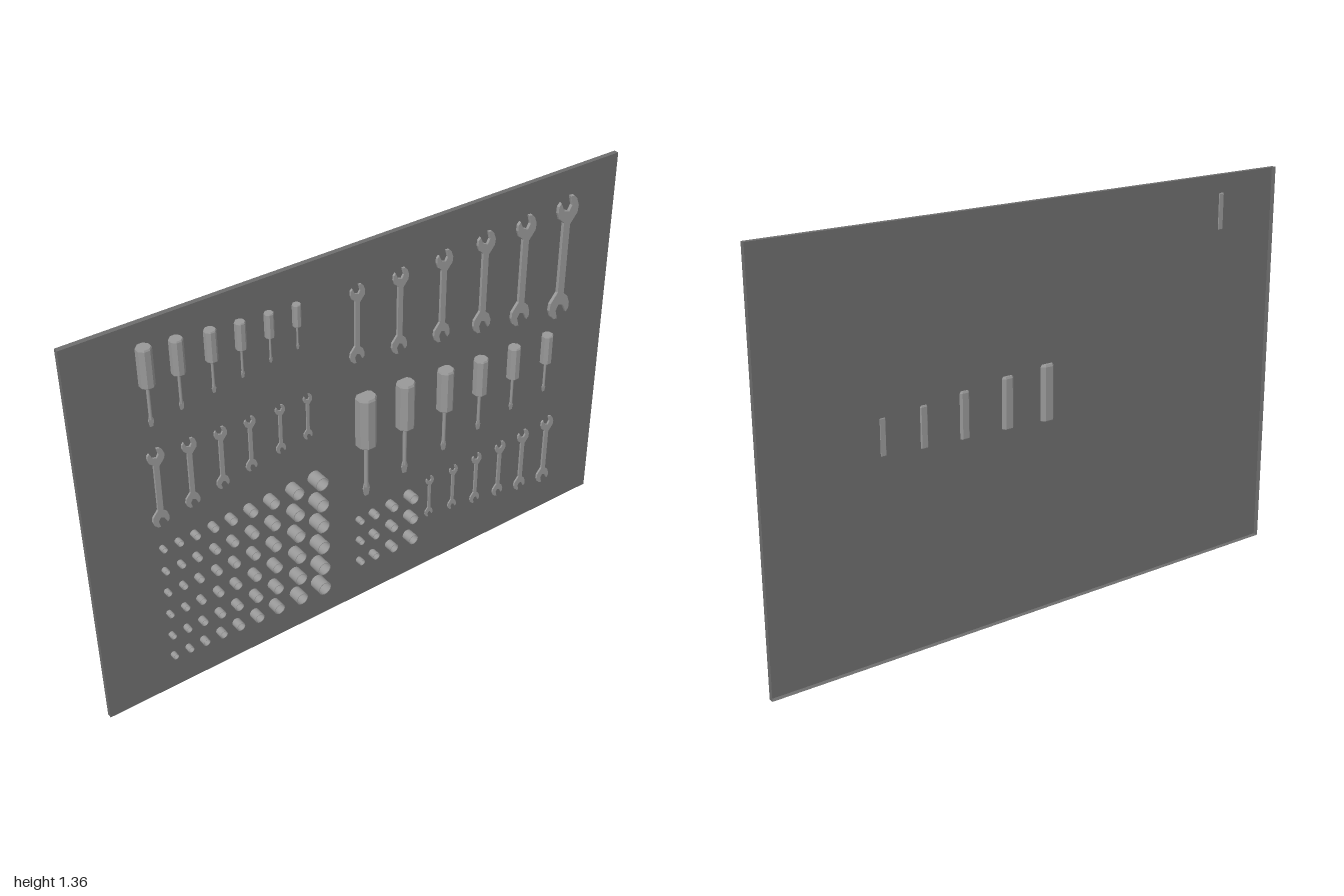
import * as THREE from 'three';
import { toCreasedNormals } from 'three/addons/utils/BufferGeometryUtils.js';

const TOOL = 0x989898;
const smooth = new THREE.MeshStandardMaterial({ color: TOOL });
const flat = new THREE.MeshStandardMaterial({ color: TOOL, flatShading: true });
const panelMaterial = new THREE.MeshStandardMaterial({ color: 0x6d6d6d, side: THREE.DoubleSide });
const TOOL_Z = 0.003;

function mesh(name, geometry, material) {
  const m = new THREE.Mesh(geometry, material);
  m.name = name;
  return m;
}

// Thin extrusion centred on z = 0
function plate(points, depth, bevel) {
  const shape = new THREE.Shape(points.map(([x, y]) => new THREE.Vector2(x, y)));
  const g = new THREE.ExtrudeGeometry(shape, {
    depth, bevelEnabled: bevel > 0, bevelSize: bevel, bevelThickness: bevel, bevelOffset: -bevel, bevelSegments: 1,
  });
  return g.translate(0, 0, -depth / 2);
}

// Double open-ended wrench of length 1: one angled head, repeated by a half turn
function wrenchGeometry() {
  const head = [
    [0.07, -0.075], [0.095, -0.025], [0.095, 0.035], [0.076, 0.08], [0.044, 0.095],
    [0.036, 0.018], [0.0, -0.012], [-0.036, 0.018], [-0.044, 0.095], [-0.076, 0.08],
    [-0.095, 0.035], [-0.095, -0.025], [-0.07, -0.075],
  ];
  const c = Math.cos(0.35), s = Math.sin(0.35);
  const half = [
    [0.036, 0.27],
    ...head.map(([x, y]) => [x * c - y * s + 0.008, x * s + y * c + 0.393]),
    [-0.033, 0.27],
  ];
  return plate([...half, ...half.map(([x, y]) => [-x, -y])], 0.018, 0.004);
}

// Screwdriver of length 1, hanging tip down from y = 0
function screwdriverParts() {
  const handle = new THREE.LatheGeometry(
    [[0, -0.48], [0.086, -0.48], [0.09, -0.472], [0.09, -0.02], [0.08, 0], [0, 0]]
      .map(([x, y]) => new THREE.Vector2(x, y)), 8);
  handle.rotateY(Math.PI / 8);
  const shaft = new THREE.CylinderGeometry(0.02, 0.02, 0.44, 10).translate(0, -0.69, 0);
  const blade = plate([
    [-0.018, -0.87], [-0.032, -0.93], [-0.018, -1], [0.018, -1], [0.032, -0.93], [0.018, -0.87],
  ], 0.016, 0);
  return { handle, shaft, blade };
}

// Thin-walled open socket of radius 1, axis along z
function socketGeometry() {
  const profile = [[0.9, -1], [1, -1], [1, 1], [0.9, 1], [0.9, -1]]
    .map(([x, y]) => new THREE.Vector2(x, y));
  return toCreasedNormals(new THREE.LatheGeometry(profile, 16).rotateX(Math.PI / 2), 0.6);
}

export function createModel() {
  const model = new THREE.Group();
  model.name = 'toolBoard';

  // Backing panel: a shallow tray, open at the back
  const panel = new THREE.BoxGeometry(2, 1.355, 0.017);
  panel.setIndex(Array.from(panel.index.array).slice(0, 30));
  panel.clearGroups();
  const board = mesh('board', panel, panelMaterial);
  board.position.set(0, 0.6775, -0.0255);
  model.add(board);

  // Wrenches: [x, centre y, length]
  const wrenchGeo = wrenchGeometry();
  const wrenches = [
    [-0.058, 1.103, 0.273], [0.102, 1.09, 0.3], [0.269, 1.083, 0.326],
    [0.434, 1.075, 0.364], [0.598, 1.061, 0.401], [0.771, 1.051, 0.452],
    [-0.764, 0.811, 0.281], [-0.655, 0.816, 0.249], [-0.55, 0.824, 0.223],
    [-0.449, 0.831, 0.198], [-0.343, 0.839, 0.177], [-0.244, 0.843, 0.165],
    [0.237, 0.312, 0.17], [0.339, 0.304, 0.186], [0.441, 0.296, 0.213],
    [0.546, 0.29, 0.234], [0.65, 0.282, 0.26], [0.76, 0.28, 0.287],
  ];
  for (const [x, y, length] of wrenches) {
    const w = mesh('wrench', wrenchGeo, flat);
    w.position.set(x, y, TOOL_Z);
    w.scale.setScalar(length);
    model.add(w);
  }

  // Screwdrivers: [x, top y, length]
  const parts = screwdriverParts();
  const drivers = [
    [-0.764, 1.291, 0.262], [-0.665, 1.281, 0.236], [-0.558, 1.27, 0.211],
    [-0.461, 1.26, 0.188], [-0.365, 1.254, 0.168], [-0.271, 1.249, 0.153],
    [-0.026, 0.832, 0.391], [0.129, 0.821, 0.358], [0.292, 0.805, 0.321],
    [0.44, 0.789, 0.284], [0.584, 0.781, 0.254], [0.731, 0.773, 0.23],
  ];
  for (const [x, y, length] of drivers) {
    const d = new THREE.Group();
    d.name = 'screwdriver';
    d.add(mesh('handle', parts.handle, flat), mesh('shaft', parts.shaft, smooth), mesh('blade', parts.blade, flat));
    d.position.set(x, y, TOOL_Z);
    d.scale.setScalar(length);
    model.add(d);
  }

  // Socket grids: columns of [x, radius] repeated on each row
  const socketGeo = socketGeometry();
  const addSockets = (columns, rows) => {
    for (const y of rows) for (const [x, r] of columns) {
      const s = mesh('socket', socketGeo, smooth);
      s.position.set(x, y, 0.011);
      s.scale.setScalar(r);
      model.add(s);
    }
  };
  addSockets([
    [-0.772, 0.0095], [-0.718, 0.0105], [-0.662, 0.012], [-0.6, 0.0135], [-0.537, 0.015],
    [-0.467, 0.017], [-0.392, 0.019], [-0.306, 0.0215], [-0.218, 0.024],
  ], [0.591, 0.505, 0.42, 0.332, 0.243, 0.158]);
  addSockets([[-0.057, 0.011], [0.0, 0.0135], [0.073, 0.016], [0.153, 0.0185]], [0.353, 0.267, 0.179]);

  return model;
}
